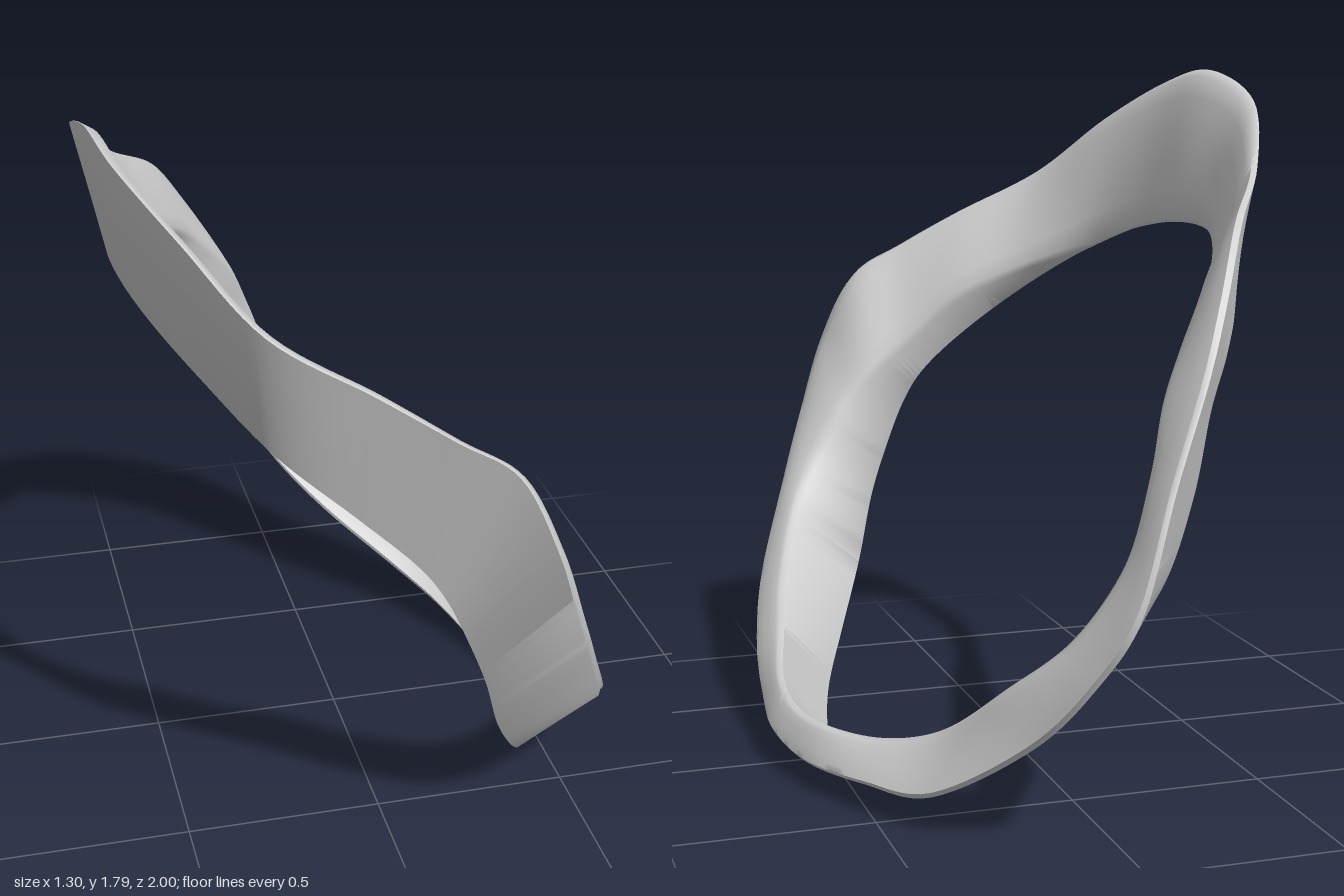
import * as THREE from 'three';
import { toCreasedNormals } from 'three/addons/utils/BufferGeometryUtils.js';

// Three guide curves run round the ring; at each step they give the corners of its cross-section.
const OUTER_RIM = [
  [-0.635, 1.8, 0.17], [-0.6, 1.77, 0.4], [-0.49, 1.66, 0.62], [-0.34, 1.5, 0.8], [-0.12, 1.38, 0.89],
  [0.05, 1.28, 0.95], [0.19, 1.19, 0.98], [0.28, 1.0, 1.01], [0.36, 0.78, 0.95], [0.44, 0.59, 0.84],
  [0.555, 0.35, 0.63], [0.615, 0.2, 0.41], [0.64, 0.11, 0.18], [0.65, 0.08, 0], [0.61, 0.06, -0.2],
  [0.52, 0.07, -0.43], [0.4, 0.09, -0.63], [0.21, 0.25, -0.82], [0.1, 0.43, -0.95], [0.02, 0.6, -1.01],
  [-0.08, 0.87, -0.95], [-0.19, 1.1, -0.87], [-0.28, 1.27, -0.76], [-0.39, 1.44, -0.59], [-0.53, 1.56, -0.37],
  [-0.64, 1.72, -0.1],
];
const LOWER_RIM = [
  [-0.57, 1.39, 0.12], [-0.53, 1.36, 0.35], [-0.44, 1.28, 0.55], [-0.31, 1.16, 0.73], [-0.14, 1.02, 0.81],
  [-0.01, 0.9, 0.84], [0.06, 0.8, 0.84], [0.12, 0.67, 0.82], [0.18, 0.52, 0.78], [0.24, 0.34, 0.7],
  [0.32, 0.18, 0.58], [0.4, 0.06, 0.42], [0.45, 0.003, 0.22], [0.475, -0.003, 0.03], [0.45, 0.025, -0.13],
  [0.38, 0.09, -0.28], [0.28, 0.16, -0.42], [0.11, 0.29, -0.57], [-0.02, 0.42, -0.68], [-0.13, 0.59, -0.75],
  [-0.22, 0.79, -0.72], [-0.29, 0.98, -0.65], [-0.35, 1.1, -0.6], [-0.4, 1.2, -0.53], [-0.48, 1.31, -0.33],
  [-0.56, 1.38, -0.1],
];
const INNER_RIDGE = [
  [-0.5, 1.375, 0.12], [-0.47, 1.34, 0.36], [-0.4, 1.28, 0.54], [-0.25, 1.21, 0.67], [-0.07, 1.12, 0.75],
  [0.06, 1.0, 0.79], [0.18, 0.9, 0.8], [0.27, 0.79, 0.79], [0.37, 0.65, 0.75], [0.45, 0.52, 0.66],
  [0.52, 0.37, 0.49], [0.56, 0.27, 0.32], [0.6, 0.2, 0.14], [0.6, 0.17, -0.03], [0.56, 0.165, -0.2],
  [0.45, 0.17, -0.37], [0.34, 0.23, -0.53], [0.24, 0.37, -0.7], [0.12, 0.51, -0.82], [0.01, 0.69, -0.86],
  [-0.06, 0.87, -0.82], [-0.12, 1.02, -0.74], [-0.2, 1.13, -0.65], [-0.29, 1.23, -0.55], [-0.41, 1.31, -0.35],
  [-0.5, 1.365, -0.1],
];

const closedCurve = (points) =>
  new THREE.CatmullRomCurve3(points.map((p) => new THREE.Vector3(...p)), true, 'catmullrom', 0.5);

// Cross-section outline: small bevels at the corners, and a face swelling from the ridge to a full, rounded outer rim.
function sectionOutline(corners, bevel, swell) {
  const outline = [];
  corners.forEach((corner, k) => {
    for (const other of [corners[(k + 2) % 3], corners[(k + 1) % 3]]) {
      const t = Math.min(0.3, bevel / corner.distanceTo(other));
      outline.push(corner.clone().lerp(other, t));
    }
  });
  const [outer, lower, ridge] = corners;
  const face = outer.clone().sub(ridge);
  const outward = ridge.clone().sub(lower);
  outward.addScaledVector(face, -outward.dot(face) / face.lengthSq()).normalize();
  // The outer corner's bevel closes the loop, so these points follow the ridge corner
  for (const t of [0.2, 0.4, 0.6, 0.78, 0.91]) {
    const point = ridge.clone().lerp(outer, t);
    outline.push(point.addScaledVector(outward, t * Math.sqrt(1 - t) * swell * face.length()));
  }
  return outline;
}

// Skins a closed ring over the guide curves
function sweepRing(curves, steps) {
  const sections = Array.from({ length: steps }, (_, i) =>
    sectionOutline(curves.map((c) => c.getPoint(i / steps)), 0.014, 0.18));
  const size = sections[0].length;
  const index = [];
  for (let i = 0; i < steps; i++) {
    for (let j = 0; j < size; j++) {
      const a = i * size + j;
      const b = i * size + ((j + 1) % size);
      const next = ((i + 1) % steps) * size;
      const c = next + ((j + 1) % size);
      const d = next + j;
      index.push(a, b, c, a, c, d);
    }
  }
  const geometry = new THREE.BufferGeometry().setFromPoints(sections.flat());
  geometry.setIndex(index);
  return toCreasedNormals(geometry, 0.95);
}

export function createModel() {
  const group = new THREE.Group();
  group.name = 'twistedRing';

  // The single wavy band, tilted and closed on itself
  const curves = [OUTER_RIM, LOWER_RIM, INNER_RIDGE].map(closedCurve);
  const band = new THREE.Mesh(
    sweepRing(curves, 208),
    new THREE.MeshStandardMaterial({ color: 0xcccccc })
  );
  band.name = 'band';
  group.add(band);
  return group;
}
